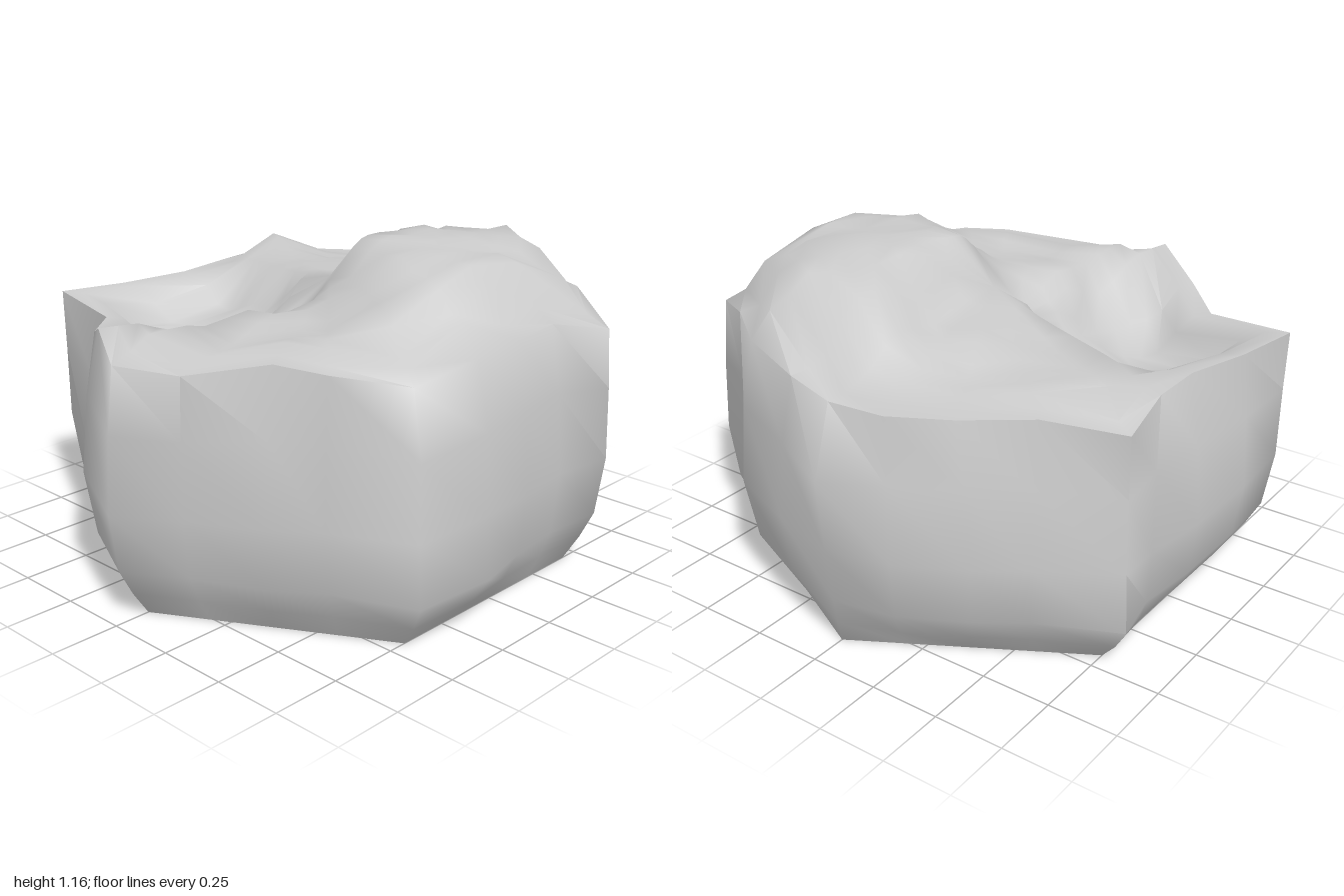
import * as THREE from 'three';
import { toCreasedNormals } from 'three/addons/utils/BufferGeometryUtils.js';

const N = 24; // points per ring, four to each side of the hexagon

// widest outline [x, z], from the front corner round towards +x
const WAIST = [
  [-0.01, 1], [0.2, 0.87], [0.47, 0.77], [0.61, 0.65], [0.87, 0.5], [0.9, 0.2],
  [0.89, 0], [0.86, -0.22], [0.86, -0.5], [0.62, -0.64], [0.48, -0.8], [0.22, -0.89],
  [-0.05, -1], [-0.25, -0.9], [-0.47, -0.78], [-0.62, -0.67], [-0.88, -0.51], [-0.87, -0.35],
  [-0.9, -0.1], [-0.905, 0.22], [-0.89, 0.5], [-0.56, 0.67], [-0.4, 0.76], [-0.3, 0.88],
];

// upper rim [x, y, z], same order
const RIM = [
  [-0.06, 0.86, 0.92], [0.2, 0.87, 0.86], [0.43, 0.92, 0.69], [0.6, 0.91, 0.63],
  [0.8, 0.88, 0.47], [0.82, 0.91, 0.2], [0.83, 0.93, 0], [0.8, 0.93, -0.22],
  [0.87, 0.88, -0.45], [0.62, 0.95, -0.62], [0.45, 0.93, -0.74], [0.2, 0.9, -0.82],
  [-0.02, 0.9, -0.89], [-0.22, 0.9, -0.87], [-0.4, 0.89, -0.75], [-0.6, 0.89, -0.6],
  [-0.86, 0.87, -0.5], [-0.8, 0.88, -0.22], [-0.79, 0.87, 0], [-0.85, 0.86, 0.25],
  [-0.9, 0.865, 0.5], [-0.57, 0.84, 0.55], [-0.4, 0.86, 0.73], [-0.2, 0.94, 0.86],
];

// heights on the top: high hump and its slopes, left ridge, left hollow, front shelf
const HUMP = [[0.2, 1.165, -0.05], [0.4, 1.16, 0.05], [0.63, 1.15, 0.06], [0.62, 1.15, -0.2], [0.6, 1.15, -0.42], [0.4, 1.155, -0.56], [0.2, 1.12, -0.45], [0.4, 1.16, -0.25], [0.22, 1.16, -0.25]];
const SLOPES = [[0.73, 1.04, -0.1], [0.73, 1.04, -0.33], [0.74, 1.02, 0.17], [0.6, 1.05, 0.26], [0.35, 1.04, 0.2], [0.4, 1.04, -0.66]];
const RIDGE = [[0, 0.99, -0.03], [-0.05, 0.97, -0.35], [-0.1, 0.975, -0.1], [-0.2, 0.97, -0.16], [-0.31, 0.955, -0.19], [-0.42, 0.94, -0.23], [-0.55, 0.955, -0.32], [-0.67, 0.97, -0.41], [-0.35, 0.9, -0.52]];
const HOLLOW = [[-0.3, 0.74, 0.12], [-0.55, 0.73, 0.12], [-0.1, 0.85, 0.18], [-0.58, 0.7, 0.3], [-0.42, 0.67, 0.32], [-0.25, 0.73, 0.4], [-0.3, 0.75, 0.53]];
const SHELF = [[0.03, 0.94, 0.38], [0.2, 0.91, 0.48], [0.2, 0.89, 0.62], [0.42, 0.96, 0.54], [0.71, 0.92, 0.43], [0.3, 0.94, 0.38], [0, 0.935, 0.68], [-0.12, 0.94, 0.78]];
const HEIGHTS = [...RIM, ...HUMP, ...SLOPES, ...RIDGE, ...HOLLOW, ...SHELF];

// wall rows as a share of rim height, and how far out each row bulges:
// 0 is the foot, 1 the waist, 2 the rim
const ROWS = [0, 0.1, 0.21, 0.45, 0.75, 1];
const BULGE = [0, 0.42, 0.78, 1, 1.35, 2];
const LOW_BULGE = [0, 0.55, 1, 0.9, 0.85, 2];
const HIGH_BULGE = [0, 0.2, 0.36, 0.68, 1, 2];
const CORNER_BULGE = { 4: LOW_BULGE, 5: LOW_BULGE, 12: HIGH_BULGE, 16: LOW_BULGE };

// inverse-distance blend of the height points
function topHeight(x, z) {
  let sum = 0, total = 0;
  for (const [px, py, pz] of HEIGHTS) {
    const w = 1 / ((x - px) ** 2 + (z - pz) ** 2 + 0.003) ** 2.2;
    sum += w * py;
    total += w;
  }
  return sum / total;
}

// point i on the hexagonal foot
function footPoint(i) {
  const corner = (k) => [0.866 * Math.sin((k * Math.PI) / 3), 0.866 * Math.cos((k * Math.PI) / 3)];
  const k = Math.floor(i / 4), f = (i % 4) / 4;
  const a = corner(k), b = corner(k + 1);
  return [a[0] + (b[0] - a[0]) * f, a[1] + (b[1] - a[1]) * f];
}

function rockGeometry() {
  const lerp = THREE.MathUtils.lerp;
  const rings = [];

  // bulging walls
  ROWS.forEach((t, row) => {
    rings.push(RIM.map(([rx, ry, rz], i) => {
      const bulge = (CORNER_BULGE[i] ?? BULGE)[row];
      const low = Math.min(bulge, 1), high = Math.max(bulge - 1, 0);
      const [fx, fz] = footPoint(i);
      const [wx, wz] = WAIST[i];
      return [lerp(lerp(fx, wx, low), rx, high), ry * t, lerp(lerp(fz, wz, low), rz, high)];
    }));
  });

  // uneven top, closing in towards the middle
  for (const s of [0.92, 0.84, 0.76, 0.68, 0.6, 0.5, 0.4, 0.3, 0.18, 0]) {
    rings.push(RIM.map(([rx, , rz]) => [rx * s, topHeight(rx * s, rz * s), rz * s]));
  }

  const index = [];
  for (let r = 0; r < rings.length - 1; r++) {
    for (let i = 0; i < N; i++) {
      const j = (i + 1) % N;
      const a = r * N + i, b = r * N + j, c = a + N, d = b + N;
      index.push(a, b, c);
      if (r < rings.length - 2) index.push(b, d, c);
    }
  }

  const geometry = new THREE.BufferGeometry();
  geometry.setAttribute('position', new THREE.Float32BufferAttribute(rings.flat(2), 3));
  geometry.setIndex(index);
  return toCreasedNormals(geometry, 1.15);
}

export function createModel() {
  const model = new THREE.Group();
  model.name = 'rock';

  // shell open at the foot, so both sides show
  const material = new THREE.MeshStandardMaterial({ color: 0xcccccc, side: THREE.DoubleSide });
  const rock = new THREE.Mesh(rockGeometry(), material);
  rock.name = 'rockShell';
  model.add(rock);
  return model;
}
